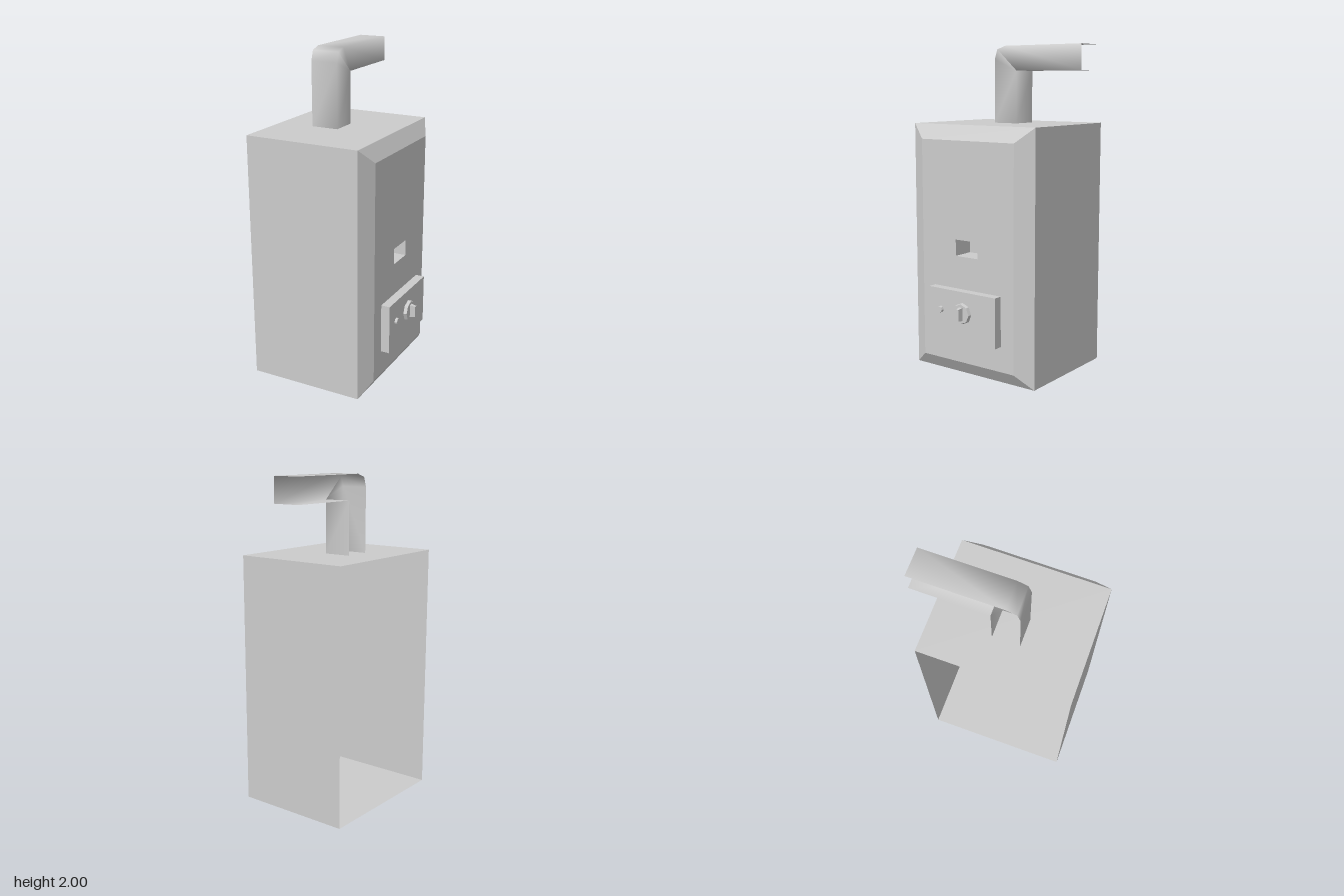
import * as THREE from 'three';

const flat = new THREE.MeshStandardMaterial({ color: 0xcccccc, flatShading: true, side: THREE.DoubleSide });
const smooth = new THREE.MeshStandardMaterial({ color: 0xcccccc, side: THREE.DoubleSide });

// Skin between successive rings of [x, y, z] points
function loft(rings, closed) {
  const n = rings[0].length, index = [];
  for (let i = 0; i < rings.length - 1; i++) {
    for (let j = 0; j < (closed ? n : n - 1); j++) {
      const k = (j + 1) % n;
      const a = i * n + j, b = i * n + k, c = b + n, d = a + n;
      index.push(a, b, c, a, c, d);
    }
  }
  const g = new THREE.BufferGeometry();
  g.setAttribute('position', new THREE.Float32BufferAttribute(rings.flat(2), 3));
  g.setIndex(index);
  g.computeVertexNormals();
  return g;
}

// Rectangle in the plane x, counter-clockwise as seen from +x
const rect = (x, y0, y1, z0, z1) => [[x, y0, z1], [x, y0, z0], [x, y1, z0], [x, y1, z1]];

// Path in (-z, y) for panels that face +x
const outline = (Type, y0, y1, z0, z1) =>
  new Type(rect(0, y0, y1, z0, z1).map(([, y, z]) => new THREE.Vector2(-z, y)));

export function createModel() {
  const model = new THREE.Group();
  const add = (name, geometry, material = flat) => {
    const mesh = new THREE.Mesh(geometry, material);
    mesh.name = name;
    model.add(mesh);
    return mesh;
  };

  // Casing, open on the wall side, with a chamfered face
  const panel = [0.085, 1.44, -0.3, 0.39];
  const hole = [0.745, 0.845, -0.035, 0.13];
  const faceX = 0.335, pocketX = 0.2;
  add('casing', loft([
    rect(-0.44, 0, 1.53, -0.41, 0.495),
    rect(0.28, 0, 1.53, -0.41, 0.495),
    rect(faceX, ...panel),
  ], true));

  // Face panel with a window cut out
  const shape = outline(THREE.Shape, ...panel);
  shape.holes.push(outline(THREE.Path, ...hole));
  add('facePanel', new THREE.ShapeGeometry(shape).rotateY(Math.PI / 2)).position.x = faceX;

  // Recess behind the window
  add('windowRecess', loft([rect(faceX, ...hole), rect(pocketX, ...hole)], true));
  add('windowBack', new THREE.ShapeGeometry(outline(THREE.Shape, ...hole)).rotateY(Math.PI / 2)).position.x = pocketX;

  // Control box
  add('controlBox', new THREE.BoxGeometry(0.055, 0.305, 0.505)).position.set(0.3625, 0.3925, 0.045);

  // Dial and push button
  const disc = (name, r0, r1, h, z) =>
    add(name, new THREE.CylinderGeometry(r1, r0, h, 8).rotateZ(-Math.PI / 2)).position.set(0.39 + h / 2, 0.415, z);
  disc('dial', 0.065, 0.06, 0.02, 0.035);
  disc('button', 0.021, 0.018, 0.015, 0.205);

  // Tapered grip on the dial
  add('dialGrip', loft([
    rect(0.41, 0.375, 0.455, 0.021, 0.047),
    rect(0.443, 0.38, 0.45, 0.025, 0.043),
    rect(0.443, 0.415, 0.415, 0.034, 0.034),
  ], true));

  // Flue: three-sided duct with a softened elbow, stations as outer and inner [z, y]
  const stations = [
    [[0.125, 1.53], [-0.04, 1.53]],
    [[0.125, 1.92], [-0.04, 1.85]],
    [[0.105, 1.98], [-0.04, 1.85]],
    [[0.045, 2], [-0.04, 1.85]],
    [[-0.5, 2], [-0.5, 1.85]],
  ];
  add('flue', loft(stations.map(([[zo, yo], [zi, yi]]) => [
    [-0.22, yo, zo], [-0.05, yo, zo], [-0.05, yi, zi], [-0.22, yi, zi],
  ]), false), smooth);

  return model;
}
